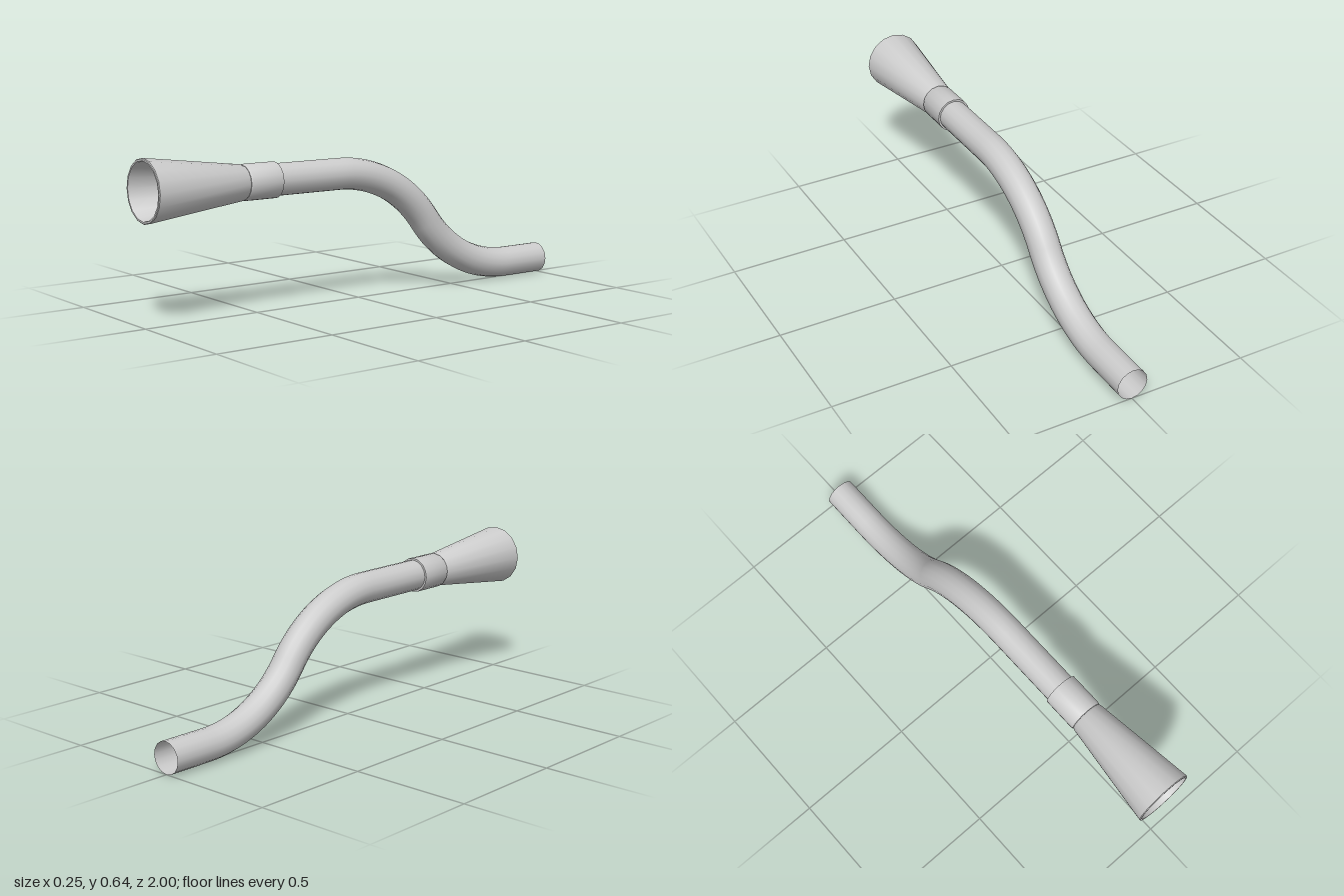
import * as THREE from 'three';
import { toCreasedNormals } from 'three/addons/utils/BufferGeometryUtils.js';

const SIDES = 16;
const HIGH = 0.52, LOW = 0.065, PIPE_R = 0.065;

const material = new THREE.MeshStandardMaterial({ color: 0xcccccc, side: THREE.DoubleSide });

// Turned part along z, from [radius, z] pairs
function turned(name, profile) {
  const points = profile.map(([r, z]) => new THREE.Vector2(r, z));
  const geometry = new THREE.LatheGeometry(points, SIDES).rotateX(Math.PI / 2);
  const mesh = new THREE.Mesh(toCreasedNormals(geometry, 0.6), material);
  mesh.name = name;
  mesh.position.y = HIGH;
  return mesh;
}

// S-shaped centre line: straight, two mirrored arcs, straight
function pipePath() {
  const v = (y, z) => new THREE.Vector3(0, y, z);
  const startZ = 0.1, endZ = -0.8;
  const halfRun = (startZ - endZ) / 2, halfDrop = (HIGH - LOW) / 2;
  const angle = 2 * Math.atan(halfDrop / halfRun);
  const handle = (4 / 3) * Math.tan(angle / 4) * (halfRun / Math.sin(angle));
  const dy = handle * Math.sin(angle), dz = handle * Math.cos(angle);
  const midY = (HIGH + LOW) / 2, midZ = (startZ + endZ) / 2;
  const path = new THREE.CurvePath();
  path.add(new THREE.LineCurve3(v(HIGH, 0.5), v(HIGH, startZ)));
  path.add(new THREE.CubicBezierCurve3(
    v(HIGH, startZ), v(HIGH, startZ - handle), v(midY + dy, midZ + dz), v(midY, midZ)));
  path.add(new THREE.CubicBezierCurve3(
    v(midY, midZ), v(midY - dy, midZ - dz), v(LOW, endZ + handle), v(LOW, endZ)));
  path.add(new THREE.LineCurve3(v(LOW, endZ), v(LOW, -1)));
  return path;
}

export function createModel() {
  const model = new THREE.Group();
  model.name = 'curvedHorn';

  // Open-ended bent pipe
  const pipe = new THREE.Mesh(new THREE.TubeGeometry(pipePath(), 64, PIPE_R, SIDES), material);
  pipe.name = 'pipe';
  model.add(pipe);

  // Collar joining pipe and bell
  model.add(turned('collar', [
    [PIPE_R - 0.003, 0.415], [0.073, 0.415], [0.073, 0.555], [0.069, 0.563], [0, 0.563],
  ]));

  // Hollow flared bell with a thick rim and a closed floor
  model.add(turned('bell', [
    [0, 0.564], [0.068, 0.564], [0.072, 0.572], [0.125, 0.997],
    [0.122, 1], [0.115, 1], [0.112, 0.995], [0.069, 0.58], [0, 0.58],
  ]));

  return model;
}
